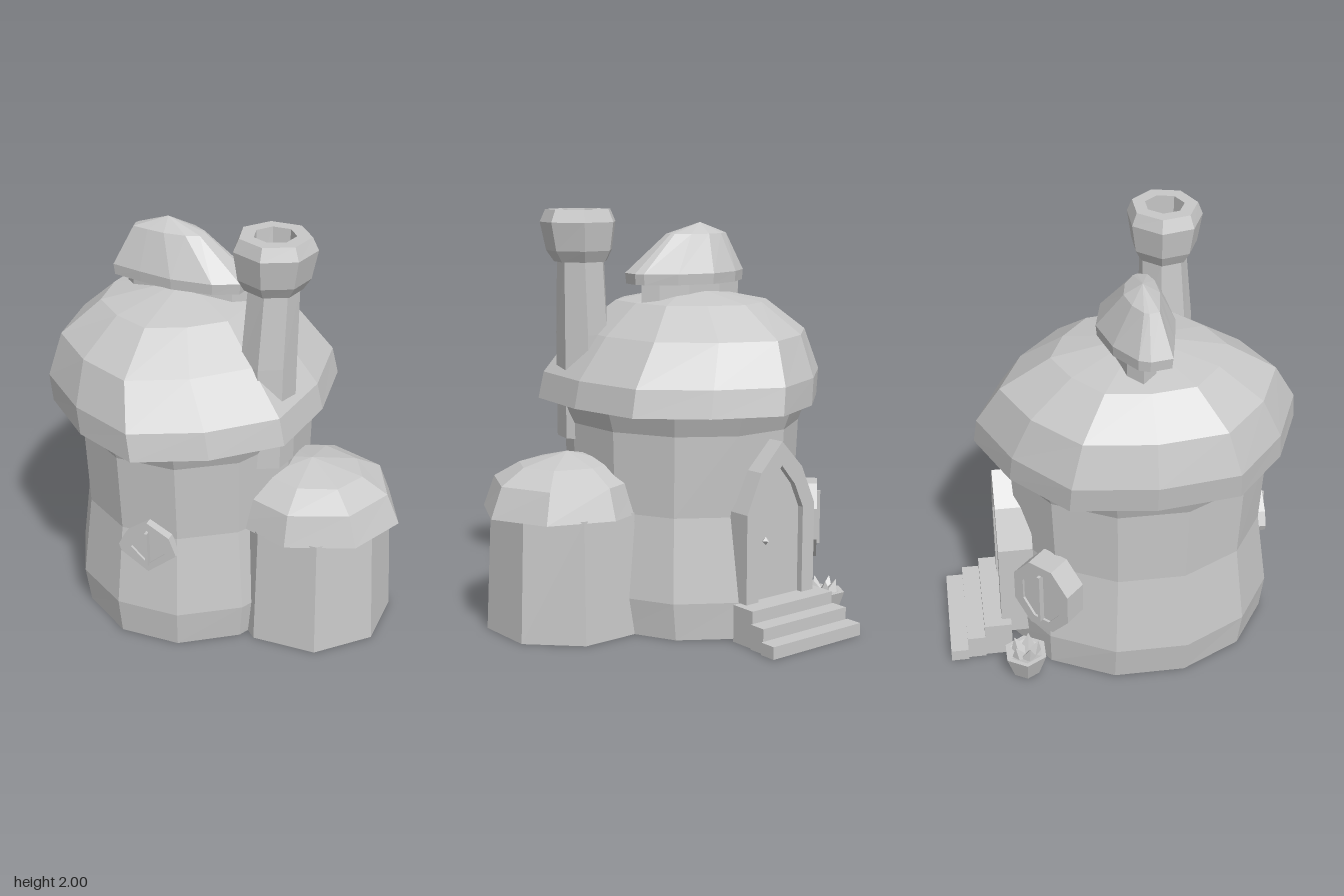
import * as THREE from 'three';

const stone = new THREE.MeshStandardMaterial({ color: 0xc8c8c8, flatShading: true, side: THREE.DoubleSide });
stone.name = 'plain grey';

function add(parent, geometry, name, x = 0, y = 0, z = 0) {
  const mesh = new THREE.Mesh(geometry, stone);
  mesh.name = name;
  mesh.position.set(x, y, z);
  parent.add(mesh);
  return mesh;
}

// Skin of elliptical rings [y, centreX, centreZ, radiusX, radiusZ], listed from the bottom up
function loft(rings, sides, phase = 0, outline = (a) => [Math.sin(a), Math.cos(a)]) {
  const positions = [];
  const point = ([y, cx, cz, rx, rz], i) => {
    const [u, v] = outline(phase + ((i % sides) / sides) * Math.PI * 2);
    return [cx + rx * u, y, cz + rz * v];
  };
  for (let r = 0; r < rings.length - 1; r++) {
    const low = rings[r], high = rings[r + 1];
    for (let i = 0; i < sides; i++) {
      const a = point(low, i), b = point(low, i + 1), c = point(high, i + 1), d = point(high, i);
      if (low[3] > 0) positions.push(...a, ...b, ...c);
      if (high[3] > 0) positions.push(...a, ...c, ...d);
    }
  }
  const g = new THREE.BufferGeometry();
  g.setAttribute('position', new THREE.Float32BufferAttribute(positions, 3));
  g.computeVertexNormals();
  return g;
}

const polygon = (points) => new THREE.Shape(points.map(([x, y]) => new THREE.Vector2(x, y)));

function plate(outer, inner, depth) {
  const shape = polygon(outer);
  if (inner) shape.holes.push(polygon(inner));
  return new THREE.ExtrudeGeometry(shape, { depth, bevelEnabled: false });
}

const ngon = (n, rx, ry) => Array.from({ length: n }, (_, i) => {
  const a = ((i + 0.5) / n) * Math.PI * 2;
  return [rx * Math.cos(a), ry * Math.sin(a)];
});

// Framed window facing +z, with a recessed pane and one upright bar
function makeWindow(name, outer, inner, barHeight, depth) {
  const g = new THREE.Group();
  g.name = name;
  add(g, plate(outer, inner, depth), 'windowFrame');
  add(g, plate(inner, null, 0.008), 'windowPane', 0, 0, depth - 0.02);
  add(g, new THREE.BoxGeometry(0.014, barHeight, 0.035), 'windowBar', 0, 0, depth);
  return g;
}

// Half width, base, spring height, shoulder and tip of a pointed arch
const arch = (w, base, spring, sx, sy, tip) =>
  [[-w, base], [w, base], [w, spring], [sx, sy], [0, tip], [-sx, sy], [-w, spring]];

// Box without its underside and inner (+z) face
function openStep(w, h, d) {
  const g = new THREE.BoxGeometry(w, h, d);
  const index = Array.from(g.index.array);
  g.setIndex([...index.slice(0, 18), ...index.slice(30)]);
  g.clearGroups();
  return g;
}

export function createModel() {
  const house = new THREE.Group();
  house.name = 'roundHouse';

  // Main tower, pinched at the waist, with a flat side to the front
  add(house, loft([
    [0, -0.21, 0.085, 0.566, 0.655],
    [0.18, -0.21, 0.09, 0.593, 0.668],
    [0.58, -0.21, 0.09, 0.543, 0.611],
    [0.97, -0.21, 0.09, 0.555, 0.631],
    [1.075, -0.21, 0.09, 0.593, 0.673],
  ], 12, Math.PI / 12), 'towerWall');

  // Domed roof, leaning slightly to one side
  const roofOutline = (a) => {
    const s = Math.sin(a), c = Math.cos(a);
    return [Math.abs(Math.abs(s) - 0.866) < 0.01 ? Math.sign(s) * 0.92 : s,
      Math.abs(Math.abs(c) - 0.866) < 0.01 ? Math.sign(c) * 0.815 : c];
  };
  add(house, loft([
    [1.075, -0.21, 0.09, 0.52, 0.61],
    [1.07, -0.205, 0.092, 0.635, 0.768],
    [1.2, -0.228, 0.092, 0.63, 0.752],
    [1.4, -0.28, 0.092, 0.522, 0.64],
    [1.55, -0.285, 0.092, 0.347, 0.405],
    [1.625, -0.27, 0.092, 0, 0],
  ], 12, 0, roofOutline), 'mainRoof');

  // Small lantern with its own cap, squarer at the front than at the back
  add(house, loft([
    [1.45, -0.262, 0.065, 0.31, 0.11],
    [1.66, -0.262, 0.065, 0.31, 0.11],
  ], 10, Math.PI / 10), 'lanternNeck');
  const capPoints = [[0, 1], [0.6, 0.93], [0.95, 0.64], [1, 0.08], [0.94, -0.17], [0.55, -0.75],
    [0, -1], [-0.55, -0.72], [-0.94, -0.2], [-1, 0.08], [-0.95, 0.64], [-0.5, 0.83]];
  add(house, loft([
    [1.66, -0.265, 0.075, 0, 0],
    [1.638, -0.265, 0.075, 0.33, 0.175],
    [1.69, -0.265, 0.075, 0.335, 0.18],
    [1.875, -0.33, 0.09, 0.175, 0.08],
    [1.93, -0.34, 0.092, 0, 0],
  ], 12, 0, (a) => capPoints[Math.round((a * 6) / Math.PI)]), 'lanternCap');

  // Side annex
  add(house, loft([
    [0, 0.415, 0.18, 0.405, 0.395],
    [0.59, 0.415, 0.178, 0.378, 0.37],
  ], 8, Math.PI / 8), 'annexWall');
  add(house, loft([
    [0.585, 0.415, 0.175, 0.34, 0.31],
    [0.58, 0.415, 0.175, 0.437, 0.387],
    [0.727, 0.415, 0.177, 0.375, 0.342],
    [0.8, 0.415, 0.18, 0.25, 0.21],
    [0.853, 0.415, 0.18, 0, 0],
  ], 8), 'annexRoof');

  // Chimney shaft and hollow flared pot
  add(house, loft([
    [0.89, 0.22, 0.305, 0, 0],
    [0.89, 0.22, 0.305, 0.135, 0.135],
    [1.4, 0.232, 0.296, 0.13, 0.134],
    [1.75, 0.2475, 0.283, 0.12, 0.115],
  ], 7), 'chimneyShaft');
  add(house, loft([
    [1.75, 0.246, 0.286, 0.1, 0.1],
    [1.75, 0.246, 0.286, 0.135, 0.127],
    [1.804, 0.25, 0.288, 0.168, 0.16],
    [1.94, 0.255, 0.289, 0.193, 0.183],
    [2, 0.255, 0.289, 0.165, 0.158],
    [2, 0.255, 0.289, 0.097, 0.095],
    [1.8, 0.255, 0.289, 0.09, 0.088],
    [1.8, 0.255, 0.289, 0, 0],
  ], 7), 'chimneyTop');

  // Pointed door at the back
  const door = new THREE.Group();
  door.name = 'door';
  door.position.set(-0.265, 0, -0.44);
  door.rotation.y = Math.PI;
  house.add(door);
  const opening = arch(0.14, 0.17, 0.6, 0.085, 0.72, 0.82);
  add(door, plate(arch(0.215, 0.1, 0.61, 0.13, 0.8, 0.935), opening, 0.165), 'doorFrame');
  add(door, plate(opening, null, 0.008), 'doorPanel', 0, 0, 0.125);
  add(door, new THREE.OctahedronGeometry(0.02), 'doorKnob', -0.08, 0.465, 0.145);

  // Steps
  [[0.56, 0.06, -0.862, -0.778], [0.535, 0.12, -0.778, -0.692], [0.515, 0.18, -0.692, -0.56]]
    .forEach(([w, h, z0, z1]) =>
      add(house, openStep(w, h, z1 - z0), 'step', -0.267, h / 2, (z0 + z1) / 2));

  // Windows
  const front = makeWindow('frontWindow',
    [[0, 0.14], [-0.115, 0.055], [-0.148, -0.01], [-0.135, -0.045], [0, -0.13], [0.145, -0.01], [0.11, 0.08]],
    [[0, 0.1], [-0.085, -0.01], [0, -0.09], [0.09, -0.01]], 0.18, 0.1);
  front.position.set(-0.203, 0.523, 0.624);
  house.add(front);
  const back = makeWindow('backWindow', ngon(8, 0.17, 0.2), ngon(8, 0.115, 0.145), 0.27, 0.12);
  back.position.set(-0.588, 0.475, -0.342);
  back.rotation.y = Math.PI + 0.81;
  house.add(back);

  // Flower pot filled with leaves
  const pot = new THREE.Group();
  pot.name = 'flowerPot';
  pot.position.set(-0.653, 0, -0.505);
  house.add(pot);
  add(pot, loft([
    [0, 0, 0, 0, 0], [0, 0, 0, 0.068, 0.068], [0.12, 0, 0, 0.108, 0.108],
    [0.12, 0, 0, 0.085, 0.085], [0.1, 0, 0, 0, 0],
  ], 6, Math.PI / 6), 'pot');
  for (let i = 0; i < 5; i++) {
    const a = (i / 5) * Math.PI * 2;
    const leaf = add(pot, new THREE.ConeGeometry(0.045, 0.085, 4), 'leaf',
      0.05 * Math.sin(a), 0.14, 0.05 * Math.cos(a));
    leaf.rotation.set(0.3 * Math.cos(a), 0, -0.3 * Math.sin(a));
  }

  return house;
}
